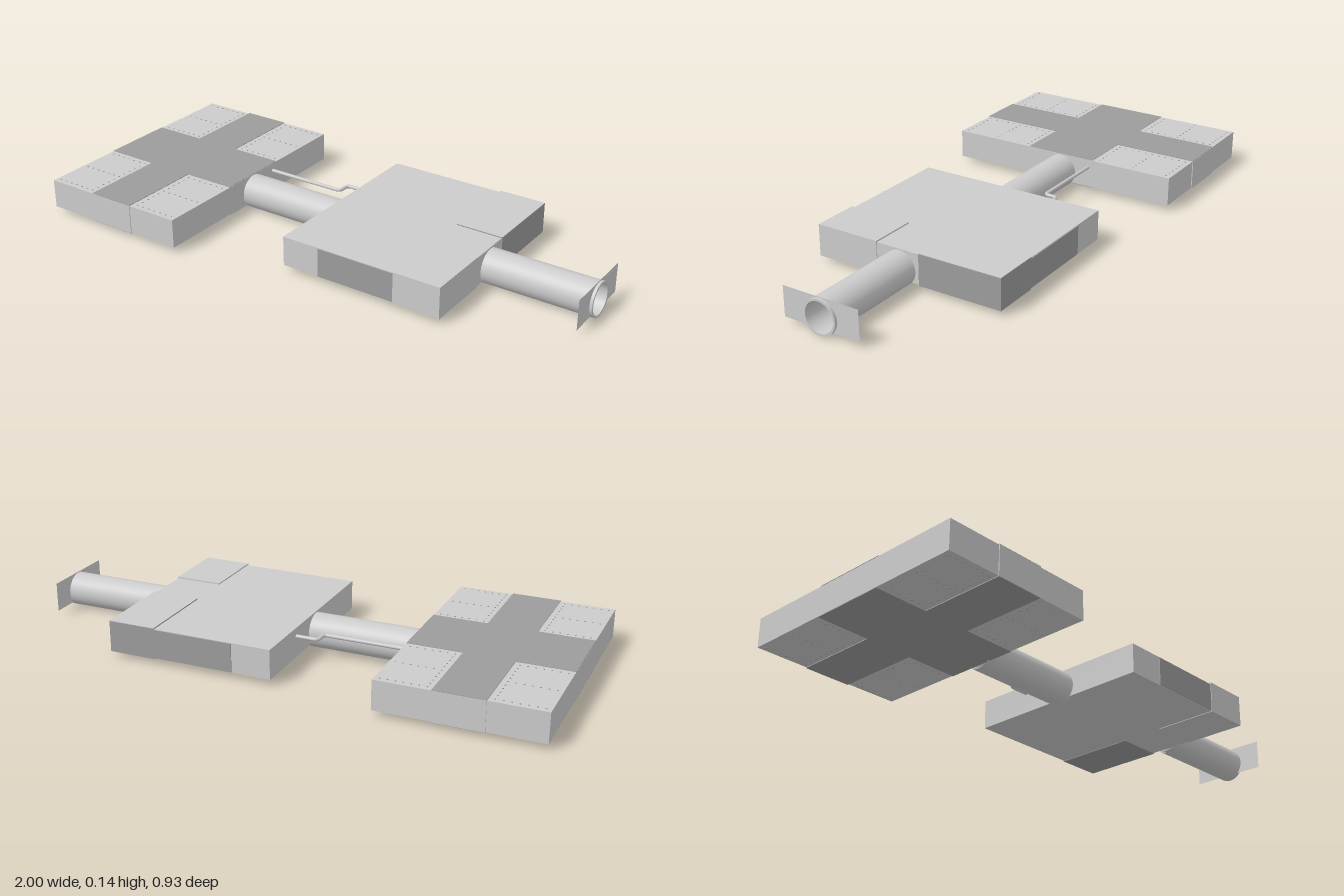
import * as THREE from 'three';

const grey = new THREE.MeshStandardMaterial({ color: 0xcccccc, side: THREE.DoubleSide });
const dark = new THREE.MeshStandardMaterial({ color: 0x9c9c9c, side: THREE.DoubleSide });

function add(parent, name, geometry, material = grey) {
  const mesh = new THREE.Mesh(geometry, material);
  mesh.name = name;
  parent.add(mesh);
  return mesh;
}

// Box given by its limits on each axis
function block(parent, name, [x0, x1], [y0, y1], [z0, z1], material = grey) {
  const mesh = add(parent, name, new THREE.BoxGeometry(x1 - x0, y1 - y0, z1 - z0), material);
  mesh.position.set((x0 + x1) / 2, (y0 + y1) / 2, (z0 + z1) / 2);
  return mesh;
}

// Open tube lying along x
function tube(parent, name, x0, x1, z, radius) {
  const geometry = new THREE.CylinderGeometry(radius, radius, x1 - x0, 40, 1, true);
  geometry.rotateZ(Math.PI / 2);
  add(parent, name, geometry).position.set((x0 + x1) / 2, 0.064, z);
}

export function createModel() {
  const model = new THREE.Group();
  model.name = 'linkedPlatforms';

  // Platform with a dark cross on its top and underside
  const cross = new THREE.Group();
  cross.name = 'crossPlatform';
  model.add(cross);
  block(cross, 'platformBody', [-1, -0.42], [0.022, 0.13], [-0.46, 0.46]);
  block(cross, 'middleRib', [-0.8, -0.62], [0.021, 0.131], [-0.463, 0.463]);
  for (const [y0, y1] of [[0.131, 0.1325], [0.0195, 0.021]]) {
    block(cross, 'crossArmWide', [-1, -0.42], [y0, y1], [-0.14, 0.14], dark);
    for (const s of [-1, 1]) {
      const z = s > 0 ? [0.14, 0.462] : [-0.462, -0.14];
      block(cross, 'crossArmLong', [-0.8, -0.62], [y0, y1], z, dark);
    }
  }

  // Rows of small rivets on the four corner panels, above and below
  const points = [];
  for (const s of [-1, 1]) {
    for (const [xa, xb] of [[-0.98, -0.82], [-0.6, -0.44]]) {
      for (const z of [0.16, 0.3, 0.44]) {
        for (let i = 0; i < 7; i++) points.push([xa + (xb - xa) * i / 6, s * z]);
      }
    }
    for (const x of [-0.82, -0.6]) {
      for (let i = 1; i < 10; i++) points.push([x, s * (0.16 + 0.028 * i)]);
    }
  }
  const rivets = new THREE.InstancedMesh(new THREE.CylinderGeometry(0.003, 0.003, 0.111, 6), dark, points.length);
  rivets.name = 'rivets';
  points.forEach(([x, z], i) => rivets.setMatrixAt(i, new THREE.Matrix4().makeTranslation(x, 0.076, z)));
  cross.add(rivets);

  // Plain platform with two raised corner blocks
  const plain = new THREE.Group();
  plain.name = 'plainPlatform';
  model.add(plain);
  block(plain, 'platformBody', [-0.025, 0.595], [0.022, 0.132], [-0.385, 0.34]);
  block(plain, 'frontCornerBlock', [0.42, 0.598], [0.02, 0.137], [0.1, 0.345]);
  block(plain, 'backCornerBlock', [0.42, 0.598], [0.02, 0.135], [-0.388, -0.07], dark);
  block(plain, 'backCornerLid', [0.42, 0.598], [0.135, 0.137], [-0.388, -0.07]);
  block(plain, 'frontPanel', [0.12, 0.42], [0.024, 0.13], [0.34, 0.343], dark);
  block(plain, 'backPanel', [0.12, 0.42], [0.024, 0.13], [-0.388, -0.385], dark);
  block(plain, 'port', [0.59, 0.605], [0.081, 0.098], [-0.007, 0.028]);

  // Connecting tube and end tube
  tube(model, 'connectingTube', -0.43, -0.018, -0.002, 0.063);
  tube(model, 'endTube', 0.585, 1, 0.008, 0.063);
  tube(model, 'endTubeLining', 0.585, 1, 0.008, 0.055);
  const rim = add(model, 'endRim', new THREE.RingGeometry(0.055, 0.063, 40));
  rim.rotation.y = Math.PI / 2;
  rim.position.set(1, 0.064, 0.008);

  // Thin plates on both sides of the end tube, cut round to fit it
  for (const s of [-1, 1]) {
    const shape = new THREE.Shape();
    const edge = s > 0 ? 0.148 : 0.147;
    shape.moveTo(0, 0.13);
    for (let i = 0; i <= 12; i++) {
      const a = Math.PI / 2 - i / 12 * (Math.PI / 2 + Math.asin(0.044 / 0.063));
      shape.lineTo(s * 0.063 * Math.cos(a), 0.064 + 0.063 * Math.sin(a));
    }
    shape.lineTo(s * edge, 0.02);
    shape.lineTo(s * edge, 0.13);
    const wing = add(model, 'endPlate', new THREE.ShapeGeometry(shape));
    wing.rotation.y = -Math.PI / 2;
    wing.position.set(0.99, 0, 0.008);
  }

  // Thin bent pipe between the platforms
  const path = new THREE.CurvePath();
  const v = (x, z) => new THREE.Vector3(x, 0.1, z);
  path.add(new THREE.LineCurve3(v(-0.43, -0.12), v(-0.125, -0.12)));
  path.add(new THREE.QuadraticBezierCurve3(v(-0.125, -0.12), v(-0.107, -0.12), v(-0.107, -0.138)));
  path.add(new THREE.LineCurve3(v(-0.107, -0.138), v(-0.107, -0.153)));
  path.add(new THREE.QuadraticBezierCurve3(v(-0.107, -0.153), v(-0.107, -0.17), v(-0.09, -0.17)));
  path.add(new THREE.LineCurve3(v(-0.09, -0.17), v(-0.02, -0.17)));
  add(model, 'pipe', new THREE.TubeGeometry(path, 90, 0.007, 10));

  return model;
}
